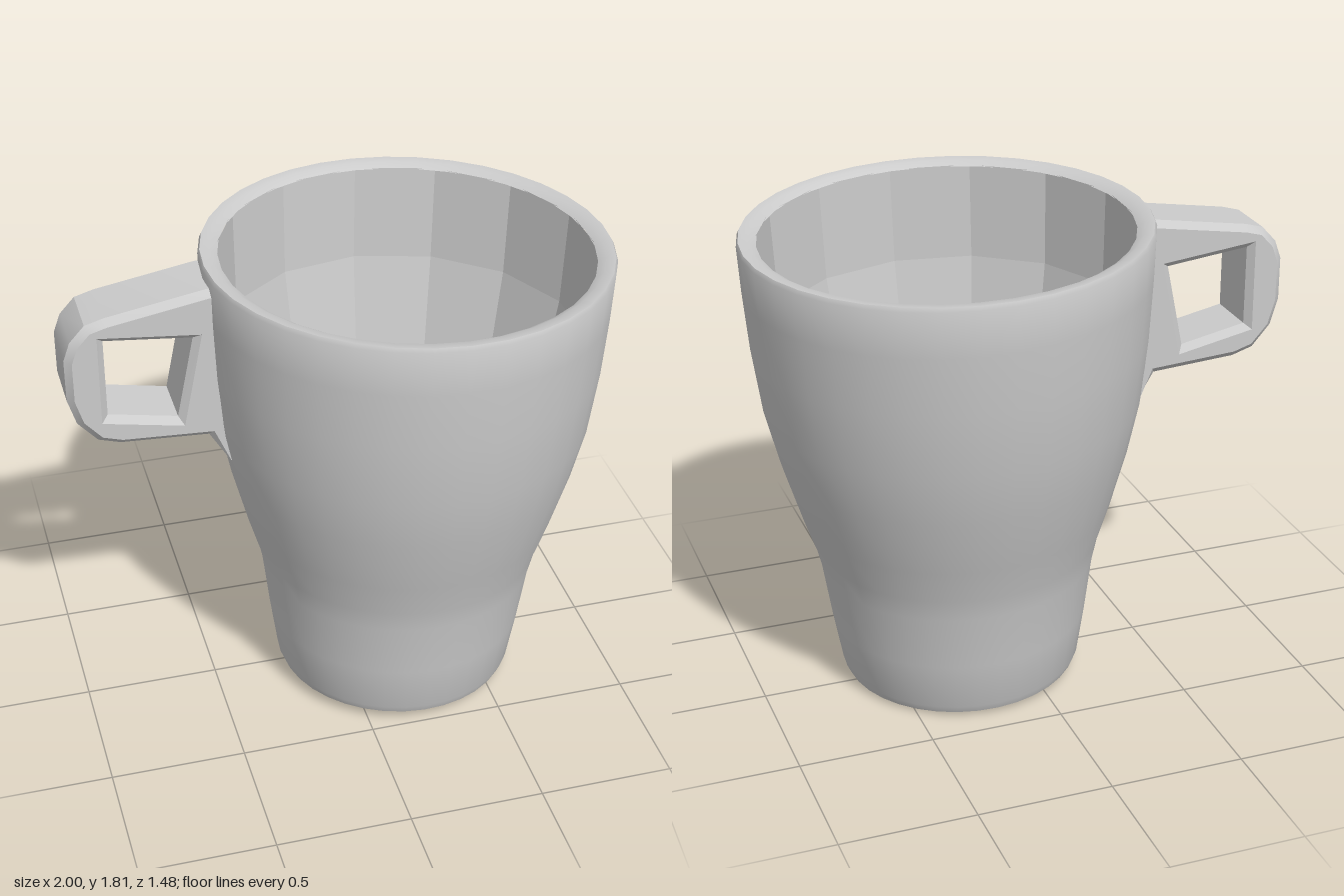
import * as THREE from 'three';
import { toCreasedNormals } from 'three/addons/utils/BufferGeometryUtils.js';

// Revolve a profile, then lean it slightly as a hand-made cup leans.
function leaningLathe(profile, segments, creaseAngle) {
  const geo = new THREE.LatheGeometry(profile.map(([r, y]) => new THREE.Vector2(r, y)), segments);
  const p = geo.attributes.position;
  for (let i = 0; i < p.count; i++) {
    const t = p.getY(i) / 1.8;
    const x = p.getX(i), z = p.getZ(i);
    p.setXYZ(i, x + 0.21 + 0.045 * t, p.getY(i) - 0.03 * x + 0.02 * z, z + 0.04 - 0.04 * t);
  }
  return toCreasedNormals(geo, creaseAngle);
}

export function createModel() {
  const group = new THREE.Group();
  const smooth = new THREE.MeshStandardMaterial({ color: 0xcccccc });
  const faceted = new THREE.MeshStandardMaterial({ color: 0xcccccc, flatShading: true });
  const add = (name, geo, material) => {
    const mesh = new THREE.Mesh(geo, material);
    mesh.name = name;
    group.add(mesh);
  };

  // Outer wall with rounded foot and thin rim
  const outer = [
    [0, 0.016], [0.41, 0.018], [0.442, 0.03], [0.455, 0.06], [0.485, 0.25], [0.515, 0.47],
    [0.535, 0.56], [0.58, 0.7], [0.645, 0.93], [0.69, 1.13], [0.72, 1.38], [0.735, 1.6],
    [0.742, 1.77], [0.735, 1.785], [0.7, 1.782], [0.672, 1.765],
  ];
  add('outerWall', leaningLathe(outer, 36, 0.6), smooth);

  // Coarsely faceted inside, from under the rim down to the floor
  const inner = [
    [0.685, 1.768], [0.672, 1.4], [0.59, 0.93], [0.54, 0.72], [0.47, 0.48],
    [0.42, 0.2], [0.34, 0.1], [0, 0.08],
  ];
  add('innerWall', leaningLathe(inner, 14, 0.1), faceted);

  // Squared handle with a rounded outer end and a gusset below
  const vec = (list) => list.map(([x, y]) => new THREE.Vector2(x, y));
  const outline = new THREE.Shape(vec([
    [-0.45, 1.76], [-0.49, 1.76], [-0.85, 1.7], [-0.92, 1.68], [-0.975, 1.62], [-1, 1.55],
    [-1, 1.39], [-0.97, 1.29], [-0.9, 1.21], [-0.82, 1.185], [-0.5, 1.165], [-0.42, 1.03],
    [-0.4, 1.03], [-0.43, 1.2],
  ]));
  outline.holes.push(new THREE.Path(vec([
    [-0.86, 1.61], [-0.86, 1.31], [-0.61, 1.26], [-0.545, 1.575],
  ])));
  const bevel = 0.025, width = 0.255;
  const handle = new THREE.ExtrudeGeometry(outline, {
    depth: width - 2 * bevel, bevelEnabled: true, bevelThickness: bevel,
    bevelSize: bevel, bevelOffset: -bevel, bevelSegments: 1,
  });
  handle.translate(0, 0, -0.155 + bevel);
  add('handle', toCreasedNormals(handle, 0.5), smooth);

  return group;
}
